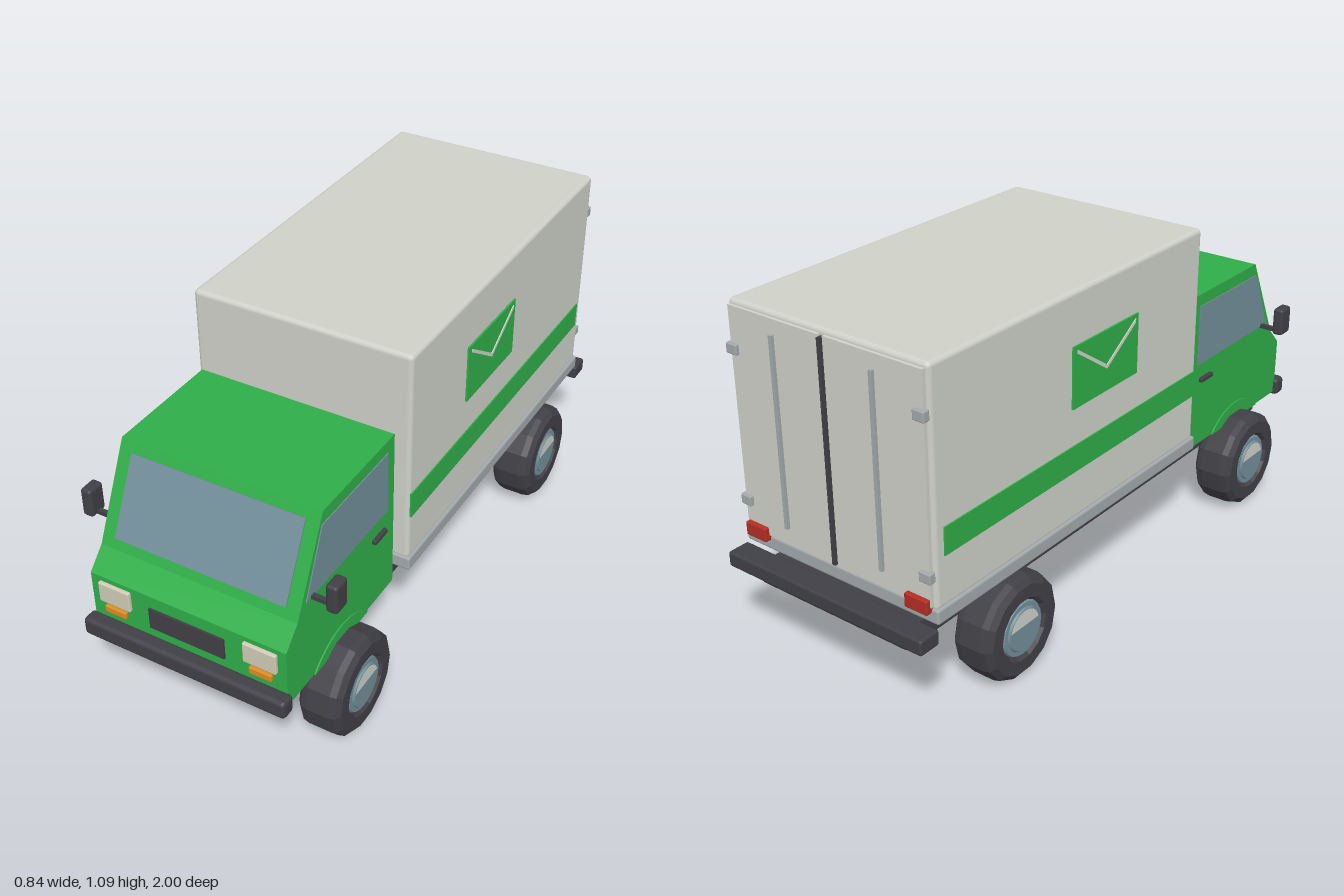
import * as THREE from 'three';
import { RoundedBoxGeometry } from 'three/addons/geometries/RoundedBoxGeometry.js';

const mat = (name, color) => {
  const m = new THREE.MeshStandardMaterial({ color });
  m.name = name;
  return m;
};

export function createModel() {
  const truck = new THREE.Group();
  truck.name = 'deliveryTruck';

  const green = mat('green paint', 0x2fae49);
  const white = mat('off-white body', 0xcfd1c9);
  const dark = mat('dark rubber', 0x414046);
  const glass = mat('blue glass', 0x728f9a);
  const metal = mat('grey metal', 0xa3a9ac);
  const cream = mat('headlight cream', 0xd0ccb6);
  const orange = mat('indicator orange', 0xe08a22);
  const red = mat('tail light red', 0xb52d24);

  const add = (name, geo, material, x = 0, y = 0, z = 0) => {
    const m = new THREE.Mesh(geo, material);
    m.name = name;
    m.position.set(x, y, z);
    truck.add(m);
    return m;
  };
  // boxes given by their limits on each axis; r rounds the edges
  const box = (name, material, [x0, x1], [y0, y1], [z0, z1], r = 0) => {
    const s = [x1 - x0, y1 - y0, z1 - z0];
    const geo = r ? new RoundedBoxGeometry(...s, 2, r) : new THREE.BoxGeometry(...s);
    return add(name, geo, material, (x0 + x1) / 2, (y0 + y1) / 2, (z0 + z1) / 2);
  };
  const span = (side, a, b) => (side > 0 ? [a, b] : [-b, -a]);
  // side profile (z, y) extruded across x, centred on the given x
  const profile = (name, material, shape, width, x = 0) => {
    const geo = new THREE.ExtrudeGeometry(shape, { depth: width, bevelEnabled: false, curveSegments: 16 });
    geo.translate(0, 0, -width / 2).rotateY(-Math.PI / 2);
    return add(name, geo, material, x);
  };
  const poly = (pts) => new THREE.Shape(pts.map(([a, b]) => new THREE.Vector2(a, b)));

  // chassis and bumpers
  box('chassis', dark, [-0.28, 0.28], [0.235, 0.305], [-0.96, 0.897], 0.008);
  box('frontBumper', dark, [-0.34, 0.34], [0.287, 0.348], [0.948, 1.0], 0.014);
  box('rearBumper', dark, [-0.37, 0.37], [0.277, 0.326], [-1.0, -0.925], 0.008);

  // cargo box
  box('cargoSkirt', metal, [-0.368, 0.368], [0.333, 0.38], [-0.925, 0.345], 0.008);
  box('cargoBox', white, [-0.36, 0.36], [0.37, 1.09], [-0.92, 0.34], 0.015);

  // cab
  profile('cab', green, poly([
    [0.37, 0.3], [0.955, 0.3], [0.955, 0.495], [0.896, 0.556], [0.757, 0.842], [0.37, 0.842],
  ]), 0.65);
  const windshield = add('windshield', new THREE.BoxGeometry(0.565, 0.252, 0.008), glass, 0, 0.698, 0.827);
  windshield.rotation.x = -0.453;
  box('grille', dark, [-0.125, 0.125], [0.382, 0.453], [0.95, 0.962]);

  // rear door seam
  box('doorSeam', dark, [-0.006, 0.006], [0.39, 1.07], [-0.938, -0.92]);

  // wheel geometry pieces, axis turned onto x
  const tyreProfile = [
    [0, -0.069], [0.142, -0.069], [0.16, -0.055], [0.165, -0.035], [0.165, 0.035],
    [0.16, 0.055], [0.142, 0.069], [0.1, 0.069], [0.09, 0.056], [0, 0.056],
  ].map(([r, h]) => new THREE.Vector2(r, h));
  const tyre = new THREE.LatheGeometry(tyreProfile, 14).toNonIndexed();
  tyre.computeVertexNormals();
  const rim = new THREE.CylinderGeometry(0.084, 0.09, 0.01, 20);
  const cap = new THREE.CylinderGeometry(0.066, 0.073, 0.01, 20);
  const shine = new THREE.Shape();
  shine.absarc(0, 0, 0.064, 0.24, Math.PI - 0.24);
  const shineGeo = new THREE.ShapeGeometry(shine, 16);

  const arch = new THREE.Shape();
  arch.absarc(0.672, 0.165, 0.2, 0.741, Math.PI - 0.741);

  for (const s of [1, -1]) {
    const side = s > 0 ? 'left' : 'right';

    // wheels
    for (const [end, z] of [['Front', 0.672], ['Rear', -0.607]]) {
      const n = side + end;
      const parts = [['Tyre', tyre, dark, 0.338], ['Rim', rim, glass, 0.396], ['HubCap', cap, glass, 0.402]];
      for (const [p, geo, m, x] of parts) {
        add(n + p, geo, m, s * x, 0.165, z).rotation.z = -s * Math.PI / 2;
      }
      add(n + 'HubShine', shineGeo, white, s * 0.408, 0.165, z).rotation.y = s * Math.PI / 2;
    }

    // cab sides
    profile(side + 'WheelArch', green, arch, 0.009, s * 0.325);
    profile(side + 'Window', glass, poly([
      [0.41, 0.597], [0.853, 0.597], [0.765, 0.802], [0.41, 0.802],
    ]), 0.008, s * 0.324);
    box(side + 'DoorHandle', dark, span(s, 0.32, 0.338), [0.531, 0.546], [0.425, 0.495], 0.004);
    box(side + 'MirrorArm', dark, span(s, 0.31, 0.395), [0.593, 0.606], [0.815, 0.83]);
    box(side + 'Mirror', dark, span(s, 0.384, 0.421), [0.592, 0.686], [0.793, 0.853], 0.01);

    // front lights
    box(side + 'Headlight', cream, span(s, 0.188, 0.296), [0.409, 0.479], [0.95, 0.966], 0.005);
    box(side + 'Indicator', orange, span(s, 0.206, 0.28), [0.374, 0.398], [0.95, 0.966], 0.004);

    // painted stripe and envelope panel with its flap line
    box(side + 'Stripe', green, span(s, 0.356, 0.364), [0.53, 0.616], [-0.885, 0.332]);
    box(side + 'EnvelopePanel', green, span(s, 0.358, 0.366), [0.735, 0.927], [-0.328, -0.008]);
    profile(side + 'EnvelopeFlap', white, poly([
      [-0.025, 0.903], [-0.025, 0.915], [-0.168, 0.82], [-0.311, 0.915], [-0.311, 0.903], [-0.168, 0.807],
    ].reverse()), 0.008, s * 0.365);

    // rear doors
    box(side + 'RearDoor', white, span(s, 0.008, 0.348), [0.385, 1.075], [-0.93, -0.915]);
    box(side + 'LockRod', metal, span(s, 0.174, 0.186), [0.44, 1.03], [-0.94, -0.928]);
    for (const y of [0.48, 0.95]) {
      box(side + 'DoorHinge', metal, span(s, 0.318, 0.358), [y - 0.016, y + 0.016], [-0.942, -0.918], 0.004);
    }
    box(side + 'TailLight', red, span(s, 0.265, 0.345), [0.366, 0.41], [-0.945, -0.915], 0.004);
  }
  return truck;
}
